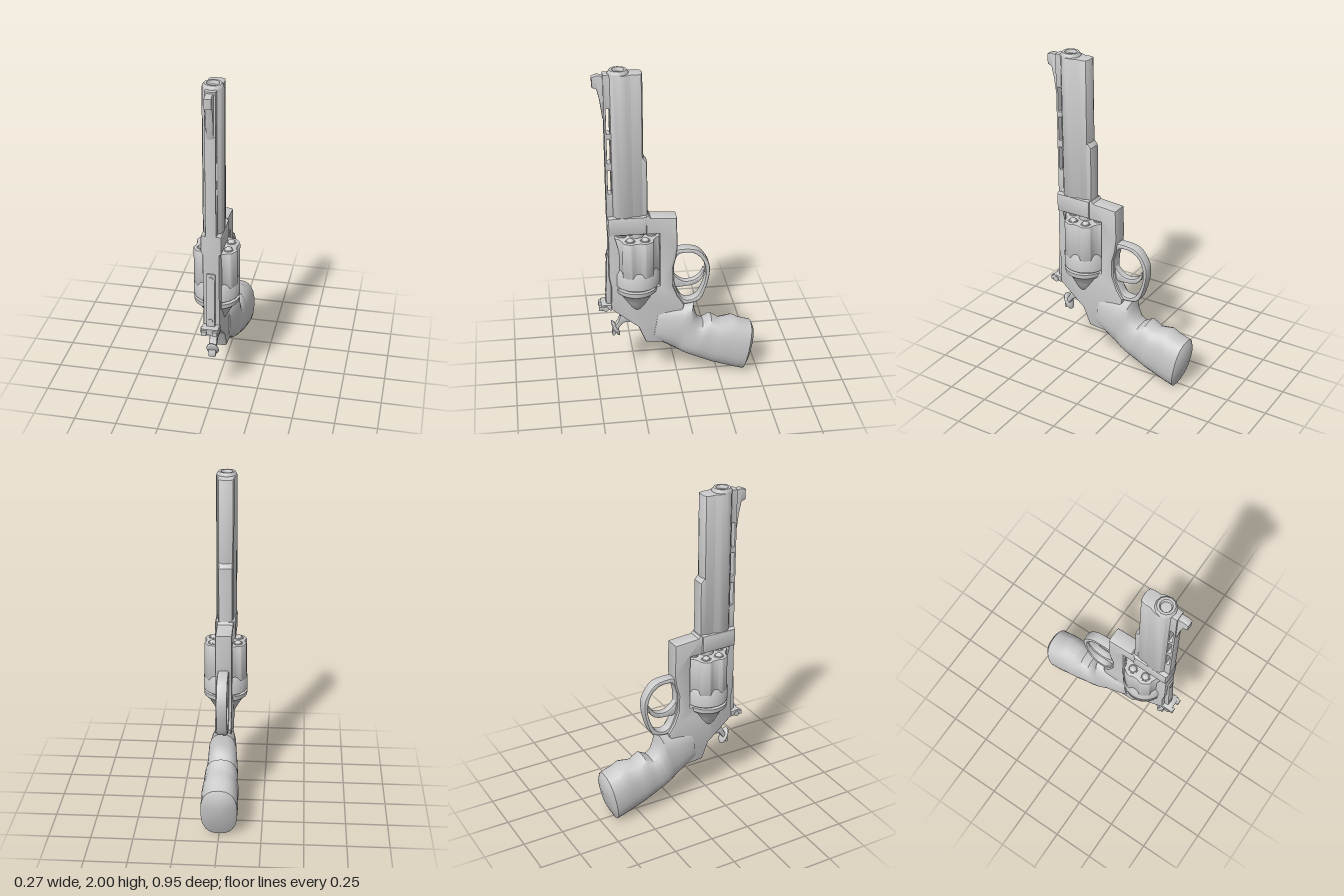
import * as THREE from 'three';
import { toCreasedNormals } from 'three/addons/utils/BufferGeometryUtils.js';

const material = new THREE.MeshStandardMaterial({ color: 0xcccccc, side: THREE.DoubleSide });
const vecs = (pts) => pts.map(([a, b]) => new THREE.Vector2(a, b));
const smooth = (pts, n = 40) => new THREE.SplineCurve(vecs([...pts, pts[0]])).getPoints(n).slice(0, -1);
const rect = (a0, a1, b0, b1) => vecs([[a0, b0], [a1, b0], [a1, b1], [a0, b1]]);

function add(group, name, geometry, crease = 0.6) {
  const mesh = new THREE.Mesh(toCreasedNormals(geometry, crease), material);
  mesh.name = name;
  group.add(mesh);
  return mesh;
}

// Side profile in (z, y), extruded to a width centred on x = 0
function plate(points, width, bevel = 0.008, holes = []) {
  const shape = new THREE.Shape(points);
  holes.forEach((h) => shape.holes.push(new THREE.Path(h)));
  const depth = width - 2 * bevel;
  return new THREE.ExtrudeGeometry(shape, {
    depth, bevelEnabled: bevel > 0, bevelThickness: bevel, bevelSize: bevel, bevelOffset: -bevel, bevelSegments: 2,
  }).translate(0, 0, -depth / 2).rotateY(-Math.PI / 2);
}

// Plan section in (x, z), extruded from y0 to y1
function column(points, y0, y1, bevel = 0) {
  const shape = new THREE.Shape(points.map((p) => new THREE.Vector2(p.x, -p.y)));
  return new THREE.ExtrudeGeometry(shape, {
    depth: y1 - y0 - 2 * bevel, bevelEnabled: bevel > 0, bevelThickness: bevel, bevelSize: bevel,
    bevelOffset: -bevel, bevelSegments: 2,
  }).rotateX(-Math.PI / 2).translate(0, y0 + bevel, 0);
}

// Loft of rounded sections: [front z, front y, back z, back y, half width]
function loft(sections, n = 24) {
  const pos = [], index = [];
  const round = (v) => Math.sign(v) * Math.abs(v) ** 0.8;
  sections.forEach(([az, ay, bz, by, w]) => {
    for (let j = 0; j < n; j++) {
      const t = (j / n) * Math.PI * 2, c = round(Math.cos(t)), s = round(Math.sin(t));
      pos.push(w * s, (ay + by) / 2 + ((ay - by) / 2) * c, (az + bz) / 2 + ((az - bz) / 2) * c);
    }
  });
  for (let i = 0; i < sections.length - 1; i++) {
    for (let j = 0; j < n; j++) {
      const a = i * n + j, b = i * n + ((j + 1) % n);
      index.push(a, b, a + n, b, b + n, a + n);
    }
  }
  const g = new THREE.BufferGeometry();
  g.setAttribute('position', new THREE.Float32BufferAttribute(pos, 3));
  g.setIndex(index);
  return g;
}

const lathe = (pts, sides, x, z) => new THREE.LatheGeometry(vecs(pts), sides).translate(x, 0, z);

function buildBarrel(g) {
  const half = [[0.03, 0.378], [0.052, 0.36], [0.063, 0.325], [0.059, 0.29], [0.047, 0.262], [0.049, 0.23], [0.042, 0.203], [0.022, 0.195]];
  const section = vecs([...half, ...half.map(([x, z]) => [-x, z]).reverse()]);
  add(g, 'barrel', column(section, 1.11, 1.98, 0.006));
  add(g, 'barrelUnderlug', plate(vecs([[0.25, 1.11], [0.175, 1.11], [0.175, 1.45], [0.2, 1.48], [0.25, 1.48]]), 0.085, 0.012));
  add(g, 'muzzle', lathe([[0.061, 1.965], [0.06, 1.985], [0.05, 2], [0.036, 2], [0.03, 1.985], [0.028, 1.88], [0, 1.88]], 12, 0, 0.328));
  // Ventilated rib along the top of the barrel
  const slots = [[1.63, 1.78], [1.45, 1.595], [1.26, 1.405]].map(([a, b]) => rect(0.383, 0.402, a, b));
  add(g, 'ventilatedRib', plate(rect(0.36, 0.415, 1.11, 1.98), 0.062, 0.004, slots));
  add(g, 'frontSight', plate(vecs([[0.405, 1.69], [0.42, 1.72], [0.435, 1.83], [0.45, 1.895], [0.475, 1.905],
    [0.477, 1.965], [0.45, 1.975], [0.405, 1.97]]), 0.042, 0.005));
}

function buildFrame(g) {
  const outline = vecs([[0.41, 1.115], [0.17, 1.115], [0.16, 1.1], [0.005, 1.09], [0, 0.9], [0.01, 0.82], [0.03, 0.75],
    [0.03, 0.64], [0, 0.56], [-0.04, 0.5], [-0.03, 0.44], [0.08, 0.24], [0.195, 0.25], [0.24, 0.36], [0.3, 0.41], [0.405, 0.5], [0.4, 0.65], [0.412, 0.72]]);
  add(g, 'frame', plate(outline, 0.1, 0.012, [rect(0.108, 0.382, 0.642, 0.99)]));
  add(g, 'frameCollar', plate(rect(0.18, 0.412, 0.995, 1.115), 0.128, 0.022));
  const shield = lathe([[0, 0.46], [0.05, 0.49], [0.075, 0.54], [0.105, 0.59], [0.132, 0.615], [0.135, 0.642], [0, 0.642]], 32, 0, 0);
  add(g, 'recoilShield', shield.scale(1, 1, 0.95).translate(0, 0, 0.245));
  // Guard ring and trigger
  const guard = smooth([[0.05, 0.86], [-0.02, 0.872], [-0.09, 0.868], [-0.135, 0.85], [-0.175, 0.8], [-0.197, 0.74], [-0.19, 0.65],
    [-0.15, 0.53], [-0.1, 0.5], [-0.03, 0.495], [0.05, 0.53], [0.06, 0.7]], 48);
  const opening = smooth([[0.02, 0.76], [0, 0.825], [-0.04, 0.843], [-0.1, 0.835], [-0.15, 0.79], [-0.172, 0.72], [-0.165, 0.64],
    [-0.13, 0.555], [-0.085, 0.522], [-0.035, 0.53], [0, 0.59], [0.02, 0.66]], 48);
  add(g, 'triggerGuard', plate(guard, 0.066, 0.01, [opening]));
  add(g, 'trigger', plate(smooth([[0.04, 0.74], [0.015, 0.69], [-0.035, 0.65], [-0.09, 0.65], [-0.135, 0.675], [-0.165, 0.725],
    [-0.158, 0.67], [-0.12, 0.627], [-0.06, 0.612], [0.04, 0.62]]), 0.045, 0.007));
}

function buildCylinder(g) {
  const z0 = 0.24, r = 0.135;
  // Fluted outline: a shallow scoop every 60 degrees
  const ring = [];
  for (let i = 0; i < 96; i++) {
    const a = (i / 96) * Math.PI * 2;
    const off = Math.abs(((a + Math.PI / 6) % (Math.PI / 3)) - Math.PI / 6) / 0.27;
    const rad = r - (off < 1 ? 0.017 * Math.sqrt(1 - off * off) : 0);
    ring.push(new THREE.Vector2(Math.cos(a) * rad, z0 + Math.sin(a) * rad));
  }
  add(g, 'cylinderFluted', column(ring, 0.74, 0.97, 0.005));
  add(g, 'cylinderBase', lathe([[0, 0.66], [r, 0.66], [r, 0.735], [0.118, 0.77], [0, 0.77]], 48, 0, z0));
  add(g, 'cylinderRatchet', lathe([[0, 0.64], [0.11, 0.64], [0.11, 0.66], [0, 0.66]], 32, 0, z0));
  add(g, 'cylinderPin', lathe([[0.045, 0.96], [0.045, 0.995], [0, 0.995]], 16, 0, z0));
  // Chambers with rounded tips inside
  for (let i = 0; i < 6; i++) {
    const a = Math.PI / 6 + (i * Math.PI) / 3, x = Math.cos(a) * 0.088, z = z0 + Math.sin(a) * 0.088;
    add(g, 'chamber', lathe([[0.031, 0.965], [0.03, 0.974], [0.025, 0.974], [0.022, 0.971]], 12, x, z));
    add(g, 'chamberTip', lathe([[0.024, 0.965], [0.021, 0.978], [0.012, 0.986], [0, 0.988]], 8, x, z));
  }
}

function buildRear(g) {
  // Rear sight: leaf along the top strap, blade and adjusting screws
  add(g, 'rearSightLeaf', plate(vecs([[0.4, 0.5], [0.432, 0.5], [0.432, 0.6], [0.42, 0.875], [0.4, 0.875]]), 0.05, 0.004));
  add(g, 'rearSightBlade', plate(vecs([[0.4, 0.495], [0.45, 0.5], [0.458, 0.49], [0.462, 0.53], [0.44, 0.535], [0.4, 0.53]]), 0.1, 0.004));
  for (const side of [1, -1]) {
    add(g, 'rearSightNotchPost', new THREE.BoxGeometry(0.03, 0.026, 0.025).translate(side * 0.032, 0.508, 0.464));
  }
  add(g, 'rearSightScrew', new THREE.CylinderGeometry(0.018, 0.018, 0.112, 12).rotateZ(Math.PI / 2).translate(0, 0.51, 0.437));
  for (const [y, z] of [[0.57, 0.432], [0.845, 0.422]]) {
    add(g, 'leafScrew', new THREE.CylinderGeometry(0.014, 0.014, 0.008, 12).rotateX(Math.PI / 2).translate(0, y, z));
  }
  // Hammer with a teardrop thumb spur
  add(g, 'hammer', plate(smooth([[0.39, 0.5], [0.375, 0.465], [0.35, 0.435], [0.365, 0.39], [0.393, 0.345], [0.397, 0.3], [0.38, 0.305],
    [0.36, 0.345], [0.325, 0.385], [0.28, 0.39], [0.25, 0.45], [0.3, 0.52]], 44), 0.046, 0.008));
  const spur = new THREE.SphereGeometry(1, 16, 10).scale(0.038, 0.056, 0.014).rotateX(0.45);
  add(g, 'hammerSpur', spur.translate(0, 0.342, 0.378), 1.2);
}

function buildGrip(g) {
  add(g, 'grip', loft([
    [0.13, 0.37, 0.13, 0.37, 0],
    [0.115, 0.48, 0.155, 0.255, 0.058],
    [0.02, 0.483, 0.1, 0.232, 0.075],
    [-0.06, 0.488, 0.04, 0.195, 0.082],
    [-0.1, 0.5, 0.015, 0.18, 0.085],
    [-0.108, 0.44, 0, 0.17, 0.088],
    [-0.128, 0.38, -0.03, 0.152, 0.092],
    [-0.16, 0.358, -0.085, 0.125, 0.096],
    [-0.21, 0.388, -0.14, 0.098, 0.1],
    [-0.265, 0.35, -0.205, 0.07, 0.104],
    [-0.345, 0.364, -0.285, 0.04, 0.108],
    [-0.39, 0.34, -0.35, 0.018, 0.11],
    [-0.462, 0.317, -0.405, 0.0, 0.108],
    [-0.476, 0.285, -0.43, 0.05, 0.085],
    [-0.472, 0.18, -0.472, 0.18, 0],
  ]), 0.8);
}

export function createModel() {
  const model = new THREE.Group();
  model.name = 'revolver';
  const parts = { barrelAssembly: buildBarrel, frameAssembly: buildFrame, cylinderAssembly: buildCylinder, sightAndHammer: buildRear, gripAssembly: buildGrip };
  for (const [name, build] of Object.entries(parts)) {
    const group = new THREE.Group();
    group.name = name;
    build(group);
    model.add(group);
  }
  return model;
}
